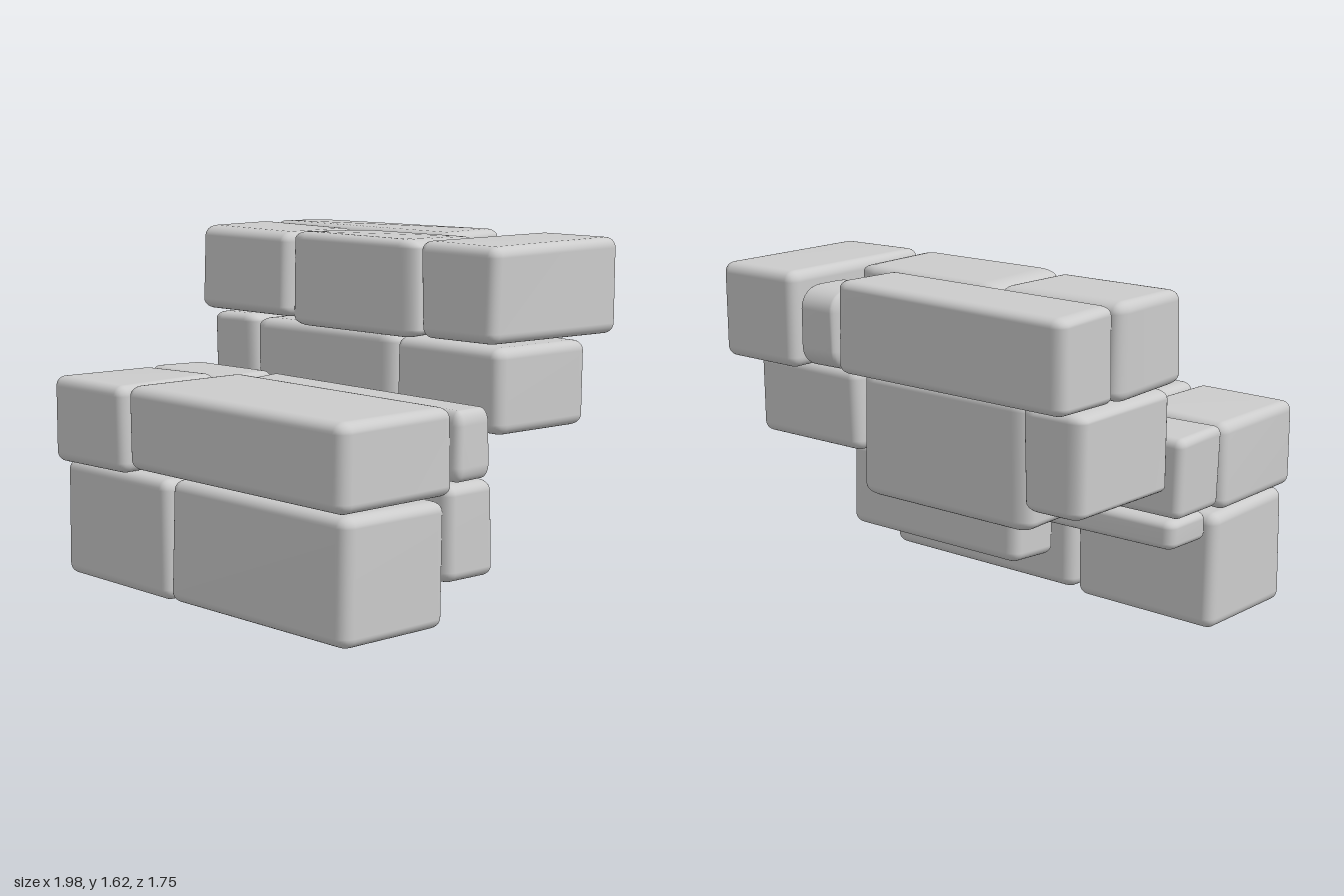
import * as THREE from 'three';
import { RoundedBoxGeometry } from 'three/addons/geometries/RoundedBoxGeometry.js';
import { mergeVertices } from 'three/addons/utils/BufferGeometryUtils.js';

// name, [x min, max], [y min, max], [z min, max], edge radii along x, y, z
const STONES = [
  // bottom course
  ['bottomFrontRightStone', [-0.99, -0.19], [0.0, 0.56], [0.23, 0.82], [0.05, 0.05, 0.05]],
  ['bottomFrontLeftStone', [-0.19, 0.99], [0.0, 0.58], [0.23, 0.83], [0.06, 0.05, 0.06]],
  ['bottomBackLeftStone', [-0.09, 0.98], [0.18, 0.63], [-0.07, 0.24], [0.06, 0.05, 0.05]],
  ['bottomBackRightSlab', [-0.95, -0.09], [0.42, 0.58], [-0.04, 0.25], [0.05, 0.04, 0.05]],
  // lower step
  ['lowerStepFrontRightStone', [-0.99, -0.45], [0.55, 0.97], [0.29, 0.88], [0.05, 0.05, 0.05]],
  ['lowerStepFrontLeftStone', [-0.45, 0.99], [0.57, 0.97], [0.18, 0.86], [0.06, 0.05, 0.06]],
  ['lowerStepBackRightStone', [-0.99, -0.43], [0.58, 0.96], [-0.03, 0.3], [0.04, 0.04, 0.04]],
  ['lowerStepBackLeftStone', [-0.44, 0.98], [0.62, 0.95], [-0.05, 0.19], [0.04, 0.07, 0.04]],
  // middle course
  ['middleLeftStone', [0.32, 0.98], [0.79, 1.19], [-0.68, -0.07], [0.05, 0.05, 0.06]],
  ['middleCentreStone', [-0.66, 0.33], [0.61, 1.2], [-0.67, -0.07], [0.09, 0.05, 0.06]],
  ['middleRightStone', [-0.99, -0.65], [0.73, 1.21], [-0.74, -0.09], [0.08, 0.04, 0.05]],
  // upper step
  ['upperStepFrontRightStone', [-1.0, -0.33], [1.2, 1.63], [-0.5, -0.02], [0.05, 0.05, 0.07]],
  ['upperStepFrontCentreStone', [-0.34, 0.5], [1.18, 1.63], [-0.5, -0.03], [0.1, 0.04, 0.05]],
  ['upperStepLeftStone', [0.5, 0.98], [1.18, 1.63], [-0.88, -0.04], [0.05, 0.05, 0.05]],
  ['upperStepBackRightStone', [-1.0, 0.27], [1.2, 1.63], [-0.87, -0.5], [0.06, 0.04, 0.05]],
  ['upperStepFillerStone', [0.26, 0.51], [1.19, 1.57], [-0.86, -0.5], [0.04, 0.1, 0.12]],
];

// repeatable value in 0..1
function hash(n) {
  const s = Math.sin(n * 12.9898 + 4.1) * 43758.5453;
  return s - Math.floor(s);
}

// rounded block whose eight corners are each pulled in a little
function stoneGeometry(size, radii, seed) {
  const [w, h, d] = size.map((s, i) => s / radii[i]);
  let geo = new RoundedBoxGeometry(w, h, d, 4, 1).scale(...radii);
  geo.deleteAttribute('normal');
  geo.deleteAttribute('uv');
  geo = mergeVertices(geo, 1e-4);
  const pos = geo.attributes.position;
  const p = [0, 0, 0];
  for (let i = 0; i < pos.count; i++) {
    p[0] = pos.getX(i); p[1] = pos.getY(i); p[2] = pos.getZ(i);
    const t = p.map((v, a) => v / size[a] + 0.5);
    const pull = [0, 0, 0];
    for (let c = 0; c < 8; c++) {
      const bits = [c & 1, (c >> 1) & 1, c >> 2];
      const weight = bits.reduce((m, b, a) => m * (b ? t[a] : 1 - t[a]), 1);
      bits.forEach((b, a) => {
        pull[a] += weight * (b ? -1 : 1) * 0.018 * hash(seed * 31 + c * 3 + a);
      });
    }
    pos.setXYZ(i, p[0] + pull[0], p[1] + pull[1], p[2] + pull[2]);
  }
  geo.computeVertexNormals();
  return geo;
}

export function createModel() {
  const group = new THREE.Group();
  group.name = 'stoneSteps';
  const material = new THREE.MeshStandardMaterial({ color: 0xcccccc });
  STONES.forEach(([name, x, y, z, radii], i) => {
    const ranges = [x, y, z];
    const size = ranges.map(([a, b]) => b - a);
    const stone = new THREE.Mesh(stoneGeometry(size, radii, i + 1), material);
    stone.position.set(...ranges.map(([a, b]) => (a + b) / 2));
    stone.name = name;
    group.add(stone);
  });
  return group;
}
